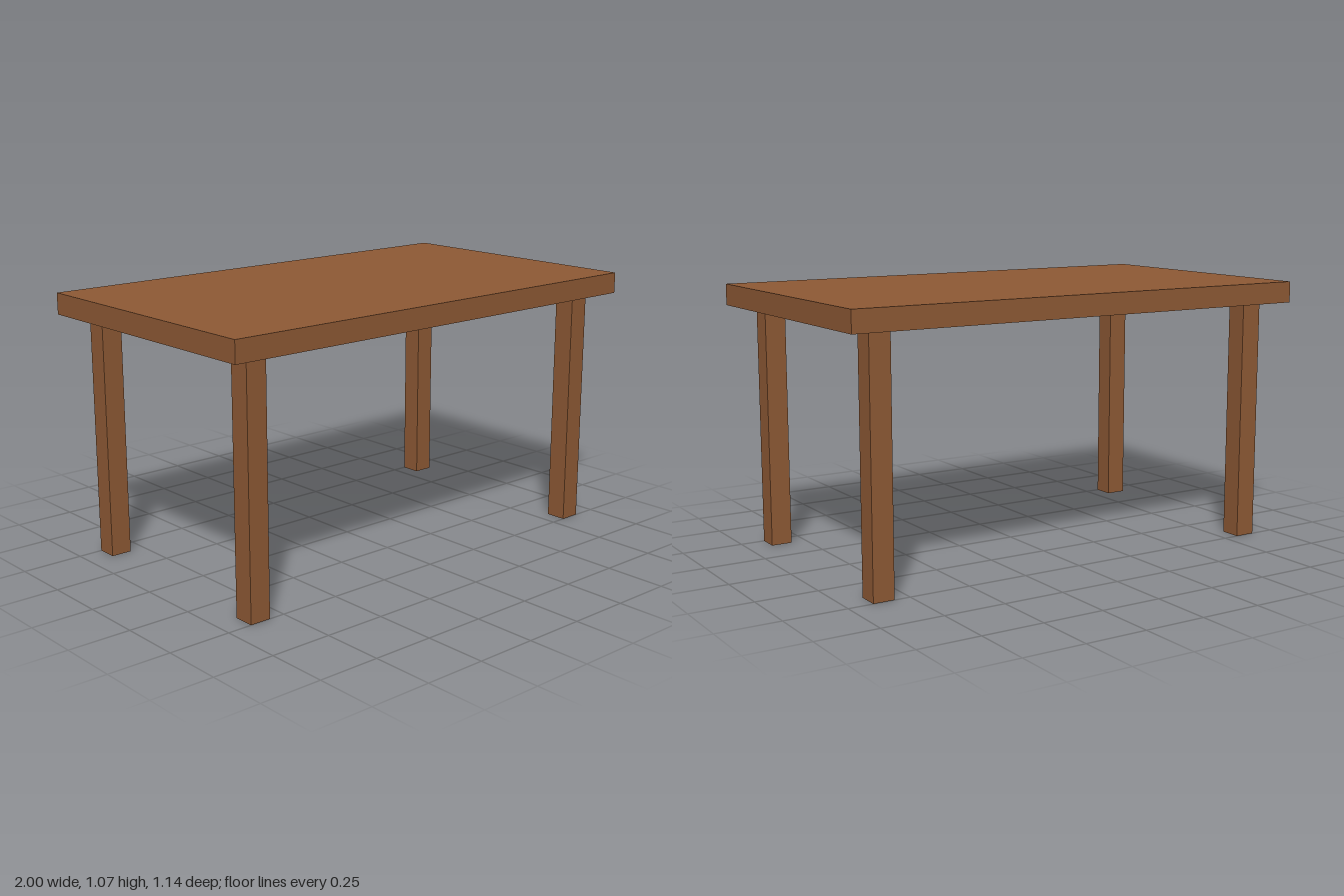
import * as THREE from 'three';

export function createModel() {
  const wood = new THREE.MeshStandardMaterial({ color: 0x8f5a35 });
  wood.name = 'brown wood';

  const table = new THREE.Group();
  table.name = 'table';

  const height = 1.071, thickness = 0.086, legWidth = 0.086;
  const legHeight = height - thickness;

  // Solid slab top
  const top = new THREE.Mesh(new THREE.BoxGeometry(2, thickness, 1.143), wood);
  top.name = 'tableTop';
  top.position.y = height - thickness / 2;
  table.add(top);

  // Four square legs, set in from the corners
  const legGeometry = new THREE.BoxGeometry(legWidth, legHeight, legWidth);
  for (const [zName, z] of [['front', 1], ['back', -1]]) {
    for (const [xName, x] of [['Left', 1], ['Right', -1]]) {
      const leg = new THREE.Mesh(legGeometry, wood);
      leg.name = `${zName}${xName}Leg`;
      leg.position.set(x * 0.857, legHeight / 2, z * 0.457);
      table.add(leg);
    }
  }

  return table;
}
